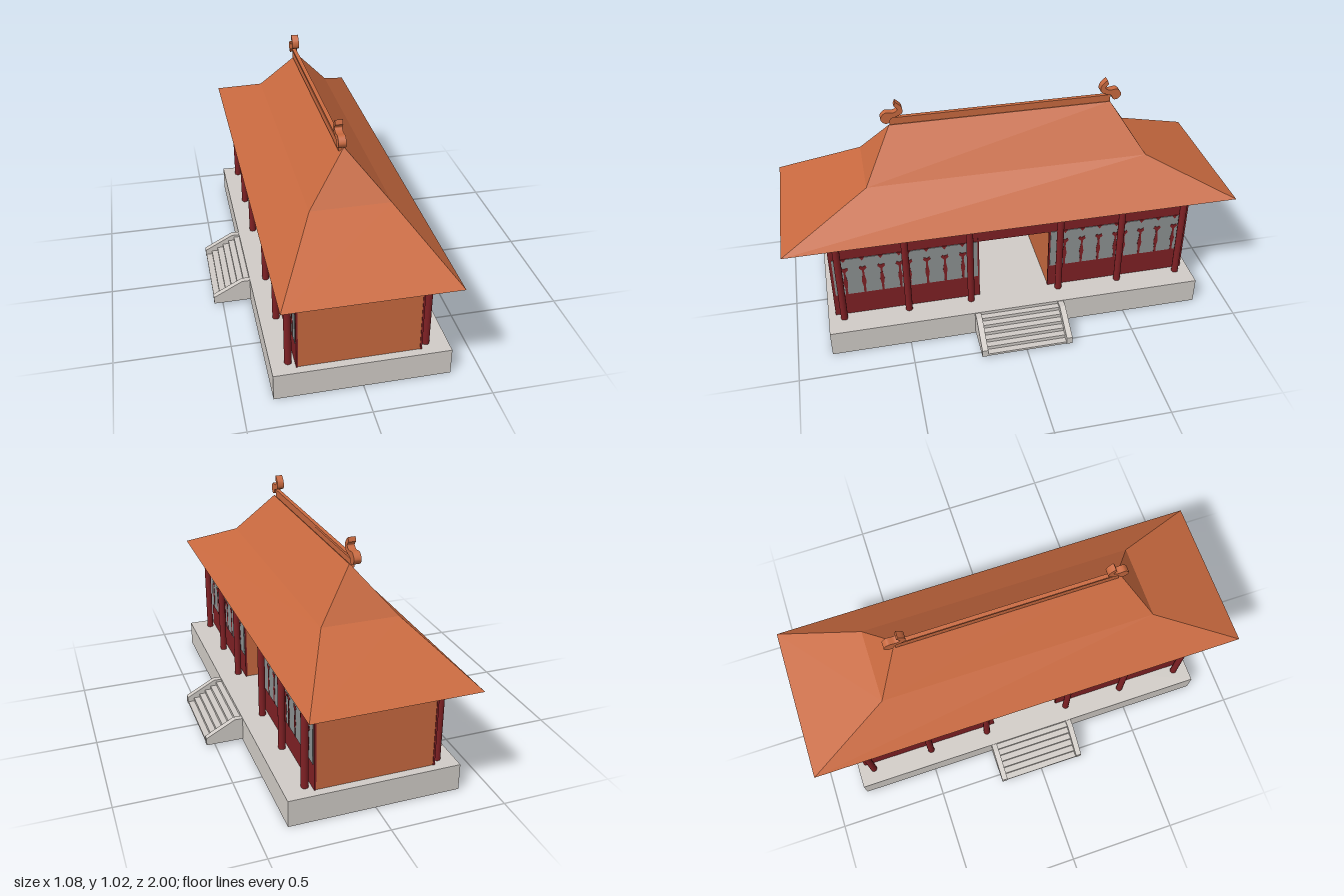
import * as THREE from 'three';

const paint = (name, color) => {
  const m = new THREE.MeshStandardMaterial({ color });
  m.name = name;
  return m;
};

export function createModel() {
  const root = new THREE.Group();
  root.name = 'hall';
  const stone = paint('pale stone', 0xd0cbc6);
  const orange = paint('terracotta orange', 0xc8693f);
  const red = paint('dark red', 0x7e2024);
  const grey = paint('window grey', 0x8b9191);
  const teal = paint('painted teal', 0x78a39e);
  const pale = paint('pale trim', 0xb4bab9);

  const add = (name, geo, mat, x = 0, y = 0, z = 0, parent = root) => {
    const m = new THREE.Mesh(geo, mat);
    m.name = name;
    m.position.set(x, y, z);
    parent.add(m);
    return m;
  };
  // box given by its min and max on each axis
  const box = (name, mat, x0, x1, y0, y1, z0, z1, parent = root) =>
    add(name, new THREE.BoxGeometry(x1 - x0, y1 - y0, z1 - z0), mat,
      (x0 + x1) / 2, (y0 + y1) / 2, (z0 + z1) / 2, parent);
  const shapeOf = pts => new THREE.Shape(pts.map(p => new THREE.Vector2(...p)));
  const extrude = (shape, depth) => {
    const g = new THREE.ExtrudeGeometry(shape, { depth, bevelEnabled: false, curveSegments: 24 });
    return g.translate(0, 0, -depth / 2);
  };
  const cx = -0.01; // the hall sits slightly off the platform's middle

  // Platform
  box('platform', stone, -0.372, 0.372, 0, 0.12, -0.85, 0.85);

  // Stairs on both long sides
  const cheek = extrude(shapeOf([[0.365, 0.012], [0.54, 0.012], [0.54, 0.046], [0.408, 0.117], [0.365, 0.117]]), 0.026);
  for (const side of [0, 1]) {
    const stairs = new THREE.Group();
    stairs.name = side ? 'rightStairs' : 'leftStairs';
    stairs.rotation.y = side * Math.PI;
    for (const s of [-1, 1]) add('stairCheek', cheek, stone, 0, 0, s * 0.192, stairs);
    for (let i = 0; i < 6; i++) {
      const x = 0.37 + i * 0.028, y = 0.105 - i * 0.0165;
      box('step', stone, x - 0.006, x + 0.028, Math.max(0.012, y - 0.03), y, -0.18, 0.18, stairs);
    }
    root.add(stairs);
  }

  // Two wings with an open passage between them
  for (const s of [-1, 1]) {
    const wing = box('wing', orange, cx - 0.257, cx + 0.257, 0.12, 0.545, -0.326, 0.326);
    wing.position.z = s * 0.488;
  }

  // Red facades, lattice windows and columns on both long sides
  const divider = shapeOf([[-0.005, 0.235], [0.005, 0.235], [0.005, 0.27], [0.01, 0.3], [0.004, 0.34],
    [0.005, 0.36], [0.017, 0.372], [0.012, 0.385], [0, 0.378], [-0.012, 0.385], [-0.017, 0.372],
    [-0.005, 0.36], [-0.004, 0.34], [-0.01, 0.3], [-0.005, 0.27]]);
  const dividerGeo = extrude(divider, 0.003).rotateY(-Math.PI / 2);
  const notch = extrude(shapeOf([[-0.012, 0.432], [0, 0.415], [0.012, 0.432]]), 0.003).rotateY(-Math.PI / 2);
  const columnGeo = new THREE.CylinderGeometry(0.0155, 0.0155, 0.425, 16);
  for (const sx of [-1, 1]) {
    const facade = new THREE.Group();
    facade.name = sx > 0 ? 'leftFacade' : 'rightFacade';
    facade.position.x = cx + sx * 0.258;
    root.add(facade);
    box('lintel', red, -0.005, 0.005, 0.43, 0.545, -0.165, 0.165, facade);
    for (const sz of [-1, 1]) {
      const span = (name, mat, t, y0, y1, a, b) =>
        box(name, mat, -t, t, y0, y1, Math.min(sz * a, sz * b), Math.max(sz * a, sz * b), facade);
      span('redWall', red, 0.004, 0.12, 0.545, 0.16, 0.817);
      span('windowBand', grey, 0.007, 0.235, 0.43, 0.168, 0.805);
      for (const [a, b] of [[0.235, 0.475], [0.515, 0.755]]) {
        for (let i = 0; i < 4; i++) {
          const z = sz * (a + (b - a) * i / 3);
          add('windowDivider', dividerGeo, red, sx * 0.007, 0, z, facade);
          add('windowNotch', notch, red, sx * 0.007, 0, z, facade);
        }
      }
      for (const z of [0.205, 0.49, 0.78])
        add('column', columnGeo, red, sx * 0.031, 0.3325, sz * z, facade);
    }
  }

  // Painted beam frame under the eaves
  for (const s of [-1, 1]) {
    const x = cx + s * 0.304;
    box('longBeam', teal, x - 0.007, x + 0.007, 0.518, 0.547, -0.925, 0.925);
    for (const z of [-0.86, -0.5, -0.22, 0.22, 0.48, 0.86])
      box('beamPatch', pale, x - 0.008, x + 0.008, 0.525, 0.541, z - 0.02, z + 0.02);
    box('endBeam', teal, cx - 0.311, cx + 0.311, 0.518, 0.547, s * 0.92 - 0.007, s * 0.92 + 0.007);
    for (let i = -2; i <= 2; i++)
      box('beamPatch', pale, cx + i * 0.12 - 0.045, cx + i * 0.12 + 0.045, 0.525, 0.545, s * 0.92 - 0.008, s * 0.92 + 0.008);
  }

  // Hipped roof from rectangular rings: half width, height, half length
  const rings = [[0.349, 0.545, 1], [0.166, 0.72, 0.62], [0.0015, 0.915, 0.493]];
  const corners = rings.map(([w, y, l]) => [[-w, y, l], [w, y, l], [w, y, -l], [-w, y, -l]]);
  const pos = [];
  const quad = (a, b, c, d) => pos.push(...a, ...b, ...c, ...a, ...c, ...d);
  for (let r = 0; r < 2; r++)
    for (let i = 0; i < 4; i++) {
      const j = (i + 1) % 4;
      quad(corners[r][i], corners[r][j], corners[r + 1][j], corners[r + 1][i]);
    }
  quad(...corners[2]);
  quad(...[...corners[0]].reverse());
  const roof = new THREE.BufferGeometry();
  roof.setAttribute('position', new THREE.Float32BufferAttribute(pos, 3));
  roof.computeVertexNormals();
  add('roof', roof, orange, cx);

  // Ridge with a curled finial at each end
  box('ridge', orange, -0.031, -0.017, 0.9, 0.935, -0.495, 0.488);
  box('ridgeCap', orange, -0.033, -0.015, 0.934, 0.945, -0.495, 0.488);
  const curl = new THREE.Shape();
  const outline = [[0.465, 1.022], [0.44, 0.997], [0.438, 0.968], [0.465, 0.952], [0.487, 0.945], [0.497, 0.925],
    [0.52, 0.927], [0.532, 0.95], [0.512, 0.974], [0.478, 0.972], [0.458, 0.985], [0.472, 1.003]];
  curl.moveTo(...outline[0]);
  curl.splineThru(outline.slice(1).map(p => new THREE.Vector2(...p)));
  const curlGeo = extrude(curl, 0.032).rotateY(-Math.PI / 2);
  add('frontFinial', curlGeo, orange, -0.024, 0, -0.005);
  add('backFinial', curlGeo, orange, -0.024, 0, -0.01).rotation.y = Math.PI;

  return root;
}
